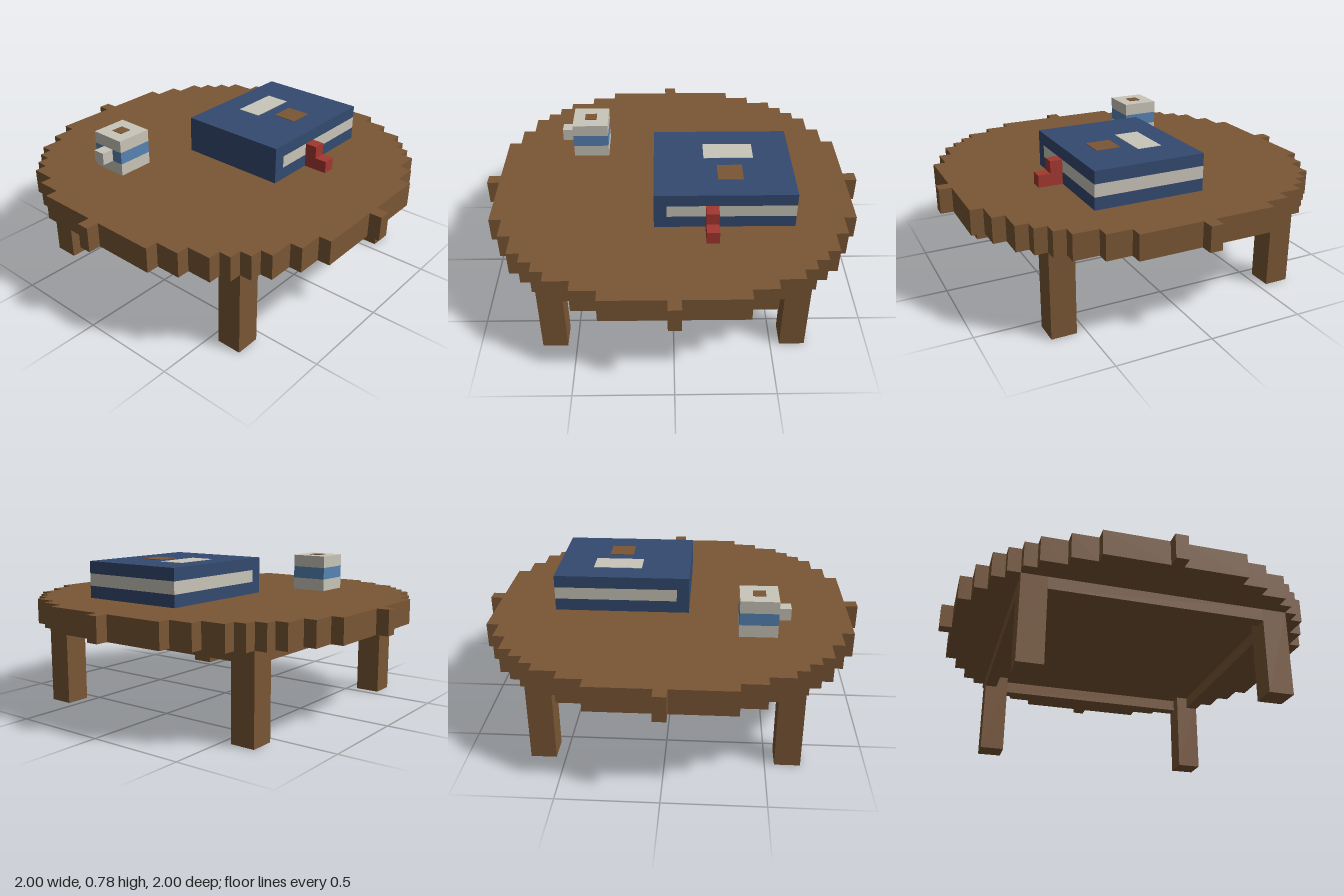
import * as THREE from 'three';

const U = 2 / 31; // one cube of the grid

function material(name, color) {
  const m = new THREE.MeshStandardMaterial({ color });
  m.name = name;
  return m;
}

export function createModel() {
  const wood = material('wood brown', 0x7a5635);
  const cover = material('cover blue', 0x334a70);
  const cream = material('cream', 0xc9c5b9);
  const band = material('band blue', 0x5684b3);
  const red = material('ribbon red', 0xa3372f);

  const model = new THREE.Group();
  model.name = 'tableWithBookAndMug';

  const group = (name) => {
    const g = new THREE.Group();
    g.name = name;
    model.add(g);
    return g;
  };

  // Box between two corners given in grid cubes
  const box = (parent, name, mat, [x0, y0, z0], [x1, y1, z1]) => {
    const geo = new THREE.BoxGeometry((x1 - x0) * U, (y1 - y0) * U, (z1 - z0) * U);
    const mesh = new THREE.Mesh(geo, mat);
    mesh.name = name;
    mesh.position.set((x0 + x1) / 2 * U, (y0 + y1) / 2 * U, (z0 + z1) / 2 * U);
    parent.add(mesh);
    return mesh;
  };

  // Round top with a stepped edge: half width of each row of cubes in a circle
  const table = group('table');
  const R = 15;
  const half = (row) => Math.floor(Math.sqrt(R * R - row * row)) + 0.5;
  const side = [];
  for (let row = -R; row <= R; row++) {
    const w = half(row);
    if (row === -R || half(row - 1) !== w) side.push([w, row - 0.5]);
    if (row === R || half(row + 1) !== w) side.push([w, row + 0.5]);
  }
  const outline = [...side, ...side.map(([x, z]) => [-x, z]).reverse()];
  const shape = new THREE.Shape(outline.map(([x, z]) => new THREE.Vector2(x * U, z * U)));
  const topGeo = new THREE.ExtrudeGeometry(shape, { depth: 2 * U, bevelEnabled: false });
  topGeo.rotateX(Math.PI / 2);
  const top = new THREE.Mesh(topGeo, wood);
  top.name = 'tableTop';
  top.position.y = 9 * U;
  table.add(top);

  // Four legs, and rails flush with their outer faces
  for (const sx of [-1, 1]) {
    for (const sz of [-1, 1]) {
      const cx = sx * 9.5, cz = sz * 9.5;
      box(table, 'leg', wood, [cx - 1, 0, cz - 1], [cx + 1, 7, cz + 1]);
    }
    const c = sx * 10;
    box(table, 'sideRail', wood, [c - 0.5, 6, -8.5], [c + 0.5, 7, 8.5]);
    box(table, sx > 0 ? 'frontRail' : 'backRail', wood, [-8.5, 6, c - 0.5], [8.5, 7, c + 0.5]);
  }

  // Book: two covers, spine and pages
  const book = group('book');
  box(book, 'bottomCover', cover, [-1.5, 9, -2.5], [9.5, 10, 6.5]);
  box(book, 'spine', cover, [-1.5, 10, -2.5], [-0.5, 11, 6.5]);
  box(book, 'pages', cream, [-0.5, 10, -2.5], [9.5, 11, 6.5]);
  box(book, 'topCover', cover, [-1.5, 11, -2.5], [9.5, 12, 6.5]);
  box(book, 'titlePlate', cream, [2.5, 12, -0.5], [6.5, 12.04, 1.5]);
  box(book, 'coverPatch', wood, [3.5, 12, 2.5], [5.5, 12.04, 4.5]);

  // Ribbon hanging from the pages to the table
  box(book, 'ribbonDrop', red, [2.5, 9, 6.5], [3.5, 11, 7.5]);
  box(book, 'ribbonEnd', red, [2.5, 9, 7.5], [3.5, 10, 8.5]);

  // Mug with a coloured middle layer
  const mug = group('mug');
  [cream, band, cream].forEach((mat, i) => {
    const name = ['mugBase', 'mugBand', 'mugRim'][i];
    box(mug, name, mat, [-8.5, 9 + i, -6.5], [-5.5, 10 + i, -3.5]);
  });
  box(mug, 'mugHandle', cream, [-9.5, 10, -5.5], [-8.5, 11, -4.5]);
  box(mug, 'drink', wood, [-7.5, 12, -5.5], [-6.5, 12.04, -4.5]);

  return model;
}
